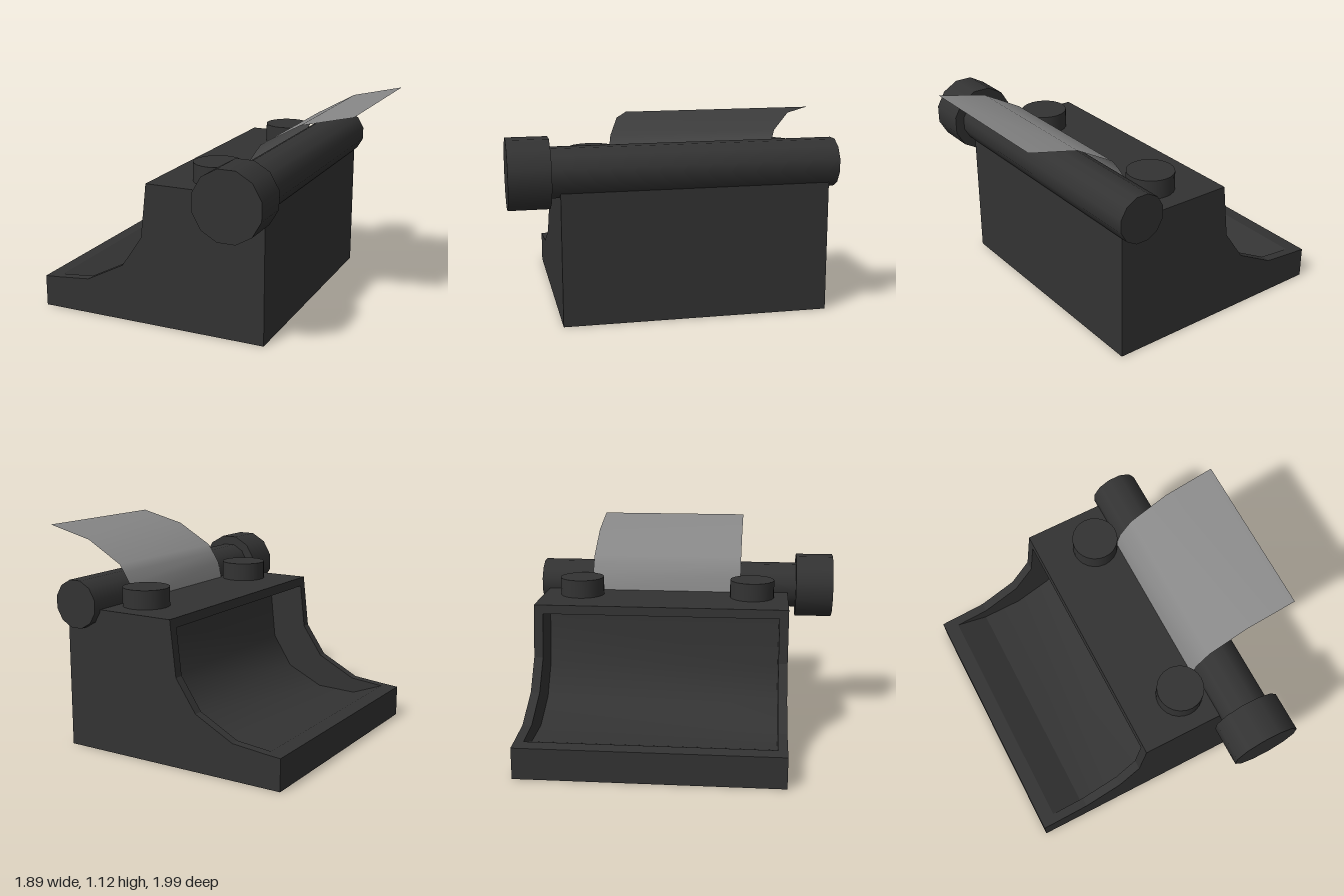
import * as THREE from 'three';

// Profiles are [z, y] points in the machine's own frame, swept along x.
const LEFT = -0.66, RIGHT = 0.72, RAIL = 0.049;
const DECK = 0.753;
const slope = [[-0.122, 0.705], [-0.15, 0.465], [-0.263, 0.3], [-0.474, 0.19], [-0.66, 0.172]];
const bed = [[0.08, 0.665], [0.05, 0.38], [-0.06, 0.21], [-0.262, 0.112], [-0.486, 0.105]];

// Sheet made by sweeping a profile between two x positions
function sweep(profile, x0, x1, smooth) {
  const pos = [], idx = [];
  profile.forEach(([z, y], i) => {
    pos.push(x0, y, z, x1, y, z);
    if (i) {
      const a = 2 * i - 2;
      idx.push(a, a + 1, a + 2, a + 1, a + 3, a + 2);
    }
  });
  let geo = new THREE.BufferGeometry();
  geo.setAttribute('position', new THREE.Float32BufferAttribute(pos, 3));
  geo.setIndex(idx);
  if (!smooth) geo = geo.toNonIndexed();
  geo.computeVertexNormals();
  return geo;
}

// Flat upright panel at one x position
function sidePanel(points, x) {
  const shape = new THREE.Shape(points.map(([z, y]) => new THREE.Vector2(z, y)));
  return new THREE.ShapeGeometry(shape).rotateY(-Math.PI / 2).translate(x, 0, 0);
}

// Twelve-sided cylinder lying along x, flat side up
function roller(radius, x0, x1) {
  return new THREE.CylinderGeometry(radius, radius, x1 - x0, 12, 1, false, Math.PI / 12)
    .rotateZ(Math.PI / 2).translate((x0 + x1) / 2, 0.775, 0.438);
}

export function createModel() {
  const model = new THREE.Group();
  const machine = new THREE.Group();
  machine.name = 'typewriter';
  machine.rotation.y = 0.534;
  model.add(machine);

  const black = new THREE.MeshStandardMaterial({ color: 0x333333, side: THREE.DoubleSide });
  black.name = 'blackMetal';
  const white = new THREE.MeshStandardMaterial({ color: 0x888888, side: THREE.DoubleSide });
  white.name = 'paperGrey';

  const add = (name, geometry, material = black) => {
    const mesh = new THREE.Mesh(geometry, material);
    mesh.name = name;
    machine.add(mesh);
  };

  // Open-bottomed case: back wall with deck, and keyboard lip
  add('backAndDeck', sweep([[0.524, 0], [0.524, DECK], [-0.117, DECK], slope[0]], LEFT, RIGHT));
  add('keyboardLip', sweep([slope[4], [-0.738, 0.166], [-0.738, 0]], LEFT, RIGHT));

  // Side walls, keyboard rails and recess walls
  const outline = [[0.524, 0], [0.524, DECK], [-0.117, DECK], ...slope, [-0.738, 0.166], [-0.738, 0]];
  const recess = [...slope, ...[...bed].reverse()];
  for (const [outer, inner] of [[LEFT, LEFT + RAIL], [RIGHT, RIGHT - RAIL]]) {
    add('sideWall', sidePanel(outline, outer));
    add('keyboardRail', sweep(slope, Math.min(outer, inner), Math.max(outer, inner)));
    add('recessWall', sidePanel(recess, inner));
  }

  // Curved keyboard bed sunk between the rails, with its ceiling and front ramp
  const x0 = LEFT + RAIL, x1 = RIGHT - RAIL;
  add('keyboardBed', sweep(bed, x0, x1, true));
  add('recessCeiling', sweep([slope[0], bed[0]], x0, x1));
  add('recessFrontRamp', sweep([bed[4], slope[4]], x0, x1));

  // Platen and its knob
  add('platen', roller(0.128, -0.75, 0.763));
  add('platenKnob', roller(0.18, -0.916, -0.707));

  // Ribbon spools on the deck
  for (const x of [-0.459, 0.503]) {
    add('ribbonSpool', new THREE.CylinderGeometry(0.123, 0.123, 0.1, 24).translate(x, 0.802, 0.184));
  }

  // Sheet of paper curling over the platen
  const paper = [[0.297, 0.753], [0.318, 0.84], [0.356, 0.9], [0.385, 0.942], [0.59, 1.058], [0.856, 1.121]];
  add('paper', sweep(paper, -0.391, 0.464, true), white);

  return model;
}
